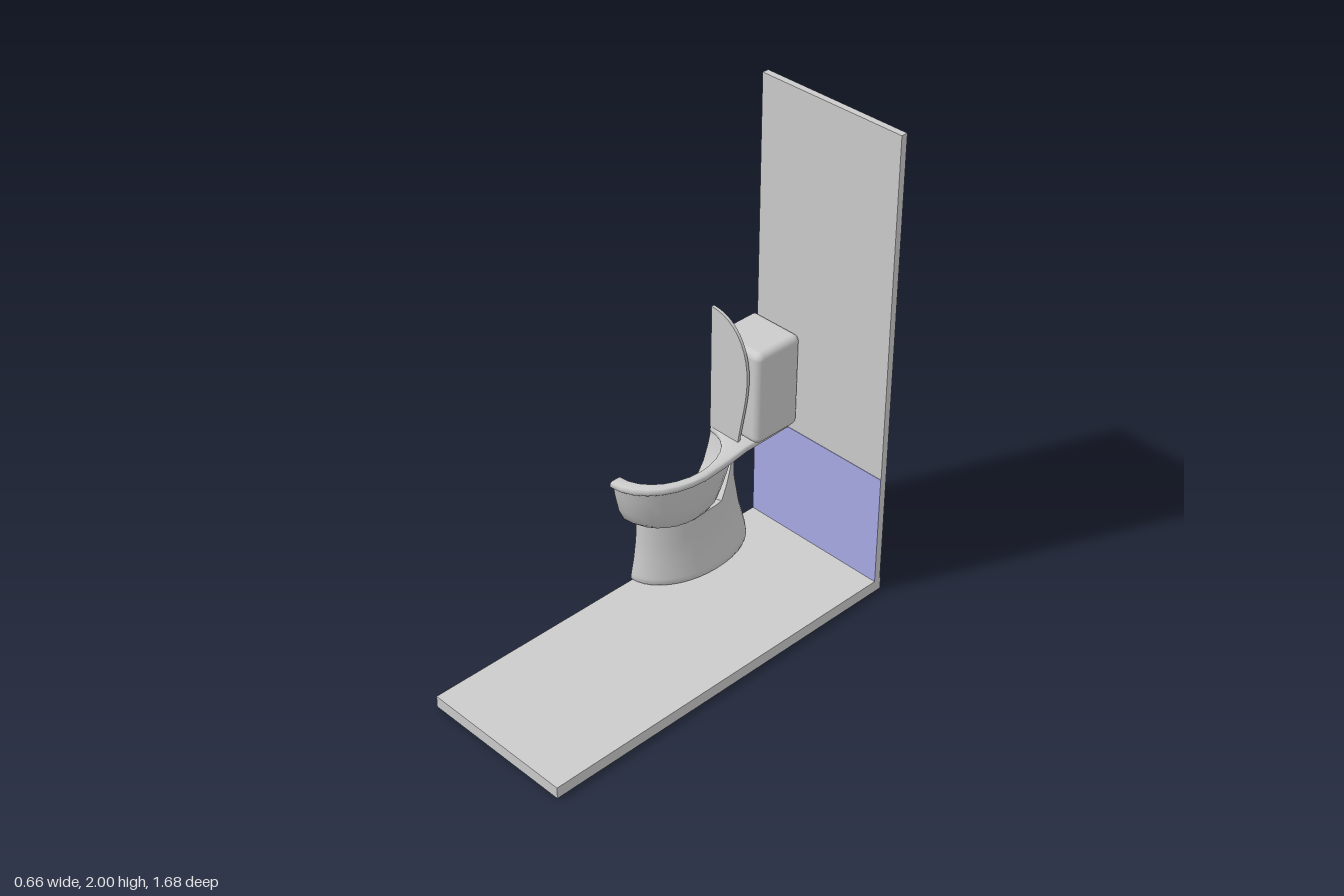
import * as THREE from 'three';
import { toCreasedNormals } from 'three/addons/utils/BufferGeometryUtils.js';
import { RoundedBoxGeometry } from 'three/addons/geometries/RoundedBoxGeometry.js';

const CUT = -0.33; // plane where the half model is sliced open

function mesh(name, geometry, color = 0xcccccc) {
  const material = new THREE.MeshStandardMaterial({ color, side: THREE.DoubleSide });
  const m = new THREE.Mesh(geometry, material);
  m.name = name;
  return m;
}

// Half of a rounded egg outline, from front (cut) round the side to back (cut)
function ring(y, zc, w, front, back, nBack = 2, steps = 14) {
  const points = [];
  for (let i = 0; i <= steps; i++) {
    const a = (Math.PI * i) / steps;
    const s = Math.max(0, Math.sin(a)), c = Math.cos(a);
    const e = c < -1e-6 ? 2 / nBack : 1;
    const z = c > 0 ? front * c : -back * Math.pow(-c, e);
    points.push(new THREE.Vector3(CUT + w * Math.pow(s, e), y, zc + z));
  }
  return points;
}

// Thick shell between matching lists of outer and inner rings
function shell(outer, inner) {
  const loop = [...outer, ...[...inner].reverse()];
  const rows = loop.length, cols = loop[0].length;
  const positions = [], index = [];
  loop.forEach(r => r.forEach(p => positions.push(p.x, p.y, p.z)));
  const quad = (a, b, c, d) => index.push(a, b, c, a, c, d);
  for (let r = 0; r < rows; r++) {
    const n = (r + 1) % rows;
    for (let i = 0; i < cols - 1; i++) {
      quad(r * cols + i, r * cols + i + 1, n * cols + i + 1, n * cols + i);
    }
  }
  // wall thickness on the sliced faces
  for (let r = 0; r < outer.length - 1; r++) {
    const q = rows - 1 - r;
    for (const i of [0, cols - 1]) {
      const ids = [r, r + 1, q - 1, q].map(k => k * cols + i);
      if (i === 0) quad(...ids);
      else quad(...ids.reverse());
    }
  }
  const g = new THREE.BufferGeometry();
  g.setAttribute('position', new THREE.Float32BufferAttribute(positions, 3));
  g.setIndex(index);
  return toCreasedNormals(g, 0.75);
}

// Flatten everything beyond the slicing plane onto it
function clampToCut(g) {
  const p = g.attributes.position;
  for (let i = 0; i < p.count; i++) p.setX(i, Math.max(CUT, p.getX(i)));
  return g;
}

// Slightly leaning slab for the wall and its panel
function leaningSlab(y0, y1, zBack, depth) {
  const g = new THREE.BoxGeometry(0.66, y1 - y0, depth);
  g.translate(0, (y0 + y1) / 2, zBack + depth / 2);
  const p = g.attributes.position;
  for (let i = 0; i < p.count; i++) p.setZ(i, p.getZ(i) + 0.006 * p.getY(i));
  return g;
}

function pedestal() {
  // y fraction, half width, front z, back z
  const profile = [
    [0, 0.182, -0.135, -0.695], [0.03, 0.186, -0.13, -0.7], [0.1, 0.183, -0.133, -0.695],
    [0.35, 0.168, -0.147, -0.662], [0.65, 0.157, -0.158, -0.635], [1, 0.153, -0.162, -0.63],
  ];
  const rings = inset => profile.map(([t, w, f, b]) => {
    const zc = (f + b) / 2, h = (f - b) / 2 - inset;
    const points = ring(0, zc, w - inset, h, h, 2.2, 20);
    // low at the front under the bowl, high at the back
    points.forEach(p => {
      const k = THREE.MathUtils.clamp((-0.48 - p.z) / 0.11, 0, 1);
      p.y = 0.055 + t * (0.28 + 0.2 * k);
    });
    return points;
  });
  return mesh('pedestal', shell(rings(0), rings(0.025)));
}

function bowl() {
  const c = -0.32;
  const build = rows => rows.map(([y, w, f, b]) => ring(y, c, w, f, b, 2.5));
  const outer = build([
    [0.557, 0.207, 0.275, 0.265], [0.5, 0.202, 0.266, 0.25], [0.42, 0.188, 0.247, 0.22],
    [0.365, 0.176, 0.22, 0.195], [0.335, 0.158, 0.185, 0.175], [0.32, 0.12, 0.135, 0.13],
    [0.318, 0.028, 0.028, 0.028],
  ]);
  const inner = build([
    [0.557, 0.182, 0.24, 0.238], [0.5, 0.177, 0.235, 0.225], [0.43, 0.165, 0.22, 0.2],
    [0.385, 0.15, 0.19, 0.172], [0.36, 0.13, 0.155, 0.15], [0.345, 0.1, 0.11, 0.11],
    [0.34, 0.028, 0.028, 0.028],
  ]);
  return mesh('bowl', shell(outer, inner));
}

function rim() {
  const flat = p => new THREE.Vector2(p.x, -p.z);
  const front = ring(0, -0.32, 0.22, 0.29, 0.2).slice(0, 8).map(flat);
  const back = [[-0.12, 0.45], [-0.135, 0.56], [-0.14, 0.79], [CUT, 0.79]]
    .map(([x, y]) => new THREE.Vector2(x, y));
  const opening = ring(0, -0.32, 0.18, 0.235, 0.235).reverse().map(flat);
  const g = new THREE.ExtrudeGeometry(new THREE.Shape([...front, ...back, ...opening]), {
    depth: 0.008, bevelEnabled: true, bevelThickness: 0.011, bevelSize: 0.011,
    bevelOffset: -0.011, bevelSegments: 3,
  });
  g.rotateX(-Math.PI / 2).translate(0, 0.556, 0);
  // keep the sliced ends flat on the cut
  const p = g.attributes.position;
  for (let i = 0; i < p.count; i++) if (p.getX(i) < CUT + 0.0125) p.setX(i, CUT);
  return mesh('rim', toCreasedNormals(g, 0.75));
}

function lid() {
  const s = new THREE.Shape();
  s.moveTo(CUT, 0.575);
  s.lineTo(-0.18, 0.575);
  s.bezierCurveTo(-0.165, 0.68, -0.14, 0.77, -0.138, 0.87);
  s.bezierCurveTo(-0.138, 1.03, -0.22, 1.12, CUT, 1.12);
  s.closePath();
  const g = new THREE.ExtrudeGeometry(s, { depth: 0.013, bevelEnabled: false, curveSegments: 10 });
  g.translate(0, 0, -0.567);
  return mesh('lid', toCreasedNormals(g, 0.6));
}

function tank() {
  const g = new RoundedBoxGeometry(0.29, 0.41, 0.228, 4, 0.03);
  g.translate(-0.245, 0.785, -0.691);
  return mesh('tank', clampToCut(g));
}

export function createModel() {
  const group = new THREE.Group();
  const floor = new THREE.BoxGeometry(0.66, 0.05, 1.68).translate(0, 0.025, 0);
  group.add(
    mesh('floor', floor),
    mesh('wall', leaningSlab(0.05, 2, -0.836, 0.028)),
    mesh('wallPanel', leaningSlab(0.05, 0.54, -0.809, 0.003), 0xa8aae6),
    pedestal(), bowl(), rim(), lid(), tank(),
  );
  return group;
}
